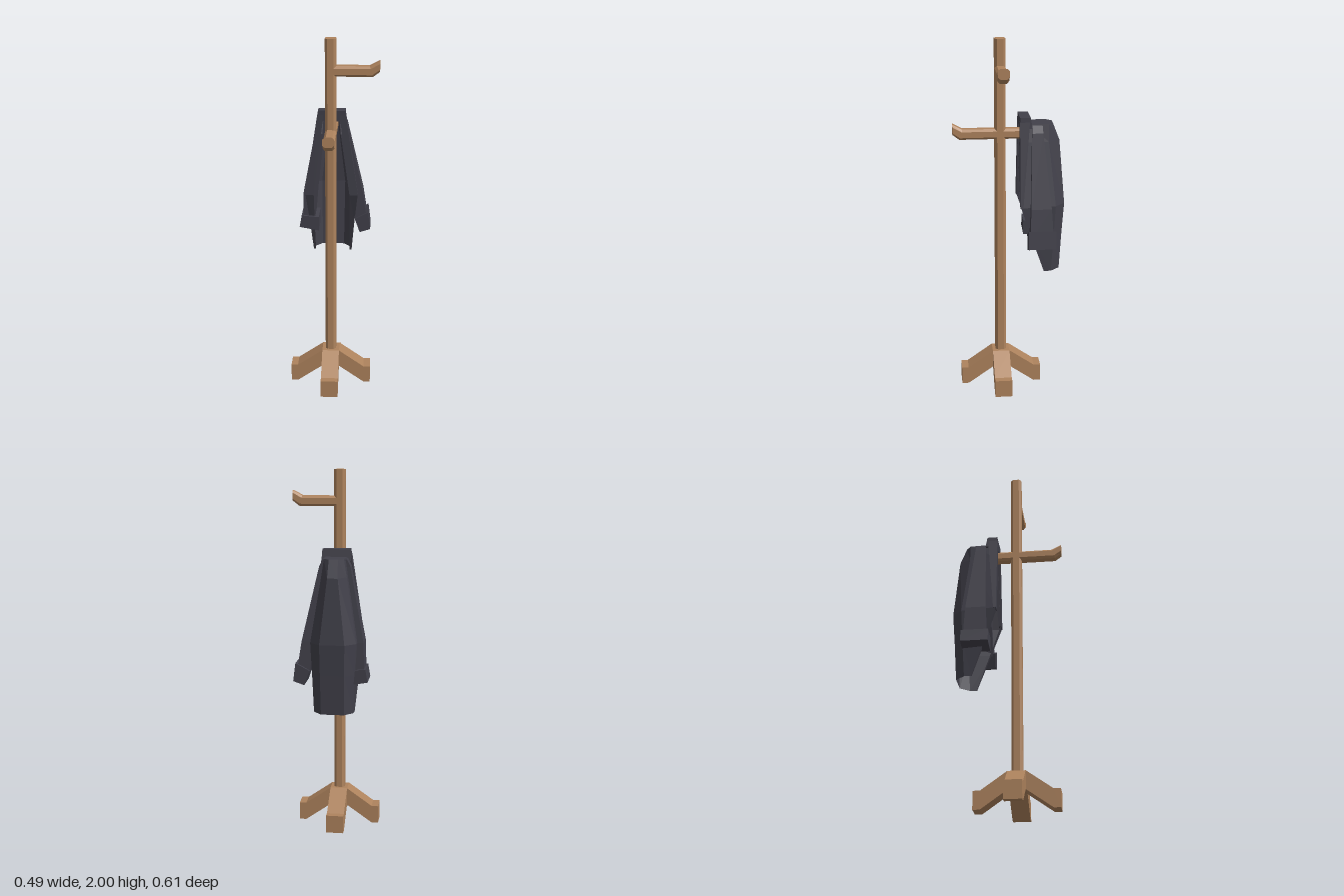
import * as THREE from 'three';

const wood = new THREE.MeshStandardMaterial({ color: 0xae835d, flatShading: true });
wood.name = 'wood';
const cloth = new THREE.MeshStandardMaterial({ color: 0x41404a, flatShading: true, side: THREE.DoubleSide });
cloth.name = 'dark cloth';

const PX = -0.016, PZ = 0.045; // pole axis
const CX = -0.018;             // coat centre line

// Skin a list of cross-sections with flat faces; open sections give a shell
function loft(rings, { closed = true, capStart = true, capEnd = true } = {}) {
  const pos = [], n = rings[0].length;
  const tri = (a, b, c) => pos.push(...a, ...b, ...c);
  for (let i = 0; i < rings.length - 1; i++) {
    for (let j = 0; j < (closed ? n : n - 1); j++) {
      const k = (j + 1) % n, r = rings[i], s = rings[i + 1];
      tri(r[j], r[k], s[k]);
      tri(r[j], s[k], s[j]);
    }
  }
  const first = rings[0], last = rings[rings.length - 1];
  for (let j = 1; j < n - 1; j++) {
    if (capStart) tri(first[0], first[j + 1], first[j]);
    if (capEnd) tri(last[0], last[j], last[j + 1]);
  }
  const g = new THREE.BufferGeometry();
  g.setAttribute('position', new THREE.Float32BufferAttribute(pos, 3));
  g.computeVertexNormals();
  return g;
}

// Chamfered square bar running along +x through [x, y] stations
function bar(stations, h, w, c) {
  const outline = [[h, -w + c], [h, w - c], [h - c, w], [-h + c, w], [-h, w - c], [-h, -w + c], [-h + c, -w], [h - c, -w]];
  return loft(stations.map(([x, y, lean = 0]) => outline.map(([u, v]) => [x - u * lean, y + u, v])));
}

function add(parent, name, geometry, material) {
  const m = new THREE.Mesh(geometry, material);
  m.name = name;
  parent.add(m);
  return m;
}

// Extrude a side outline, centred on z
function slab(points, depth) {
  const shape = new THREE.Shape(points.map(p => new THREE.Vector2(...p)));
  return new THREE.ExtrudeGeometry(shape, { depth, bevelEnabled: false }).translate(0, 0, -depth / 2);
}

function buildStand() {
  const stand = new THREE.Group();
  stand.name = 'stand';
  stand.position.set(PX, 0, PZ);

  const pole = add(stand, 'pole', bar([[0.15, 0], [2, 0]], 0.03, 0.03, 0.013), wood);
  pole.rotation.z = Math.PI / 2;

  // Hub and four splayed feet
  add(stand, 'hub', new THREE.BoxGeometry(0.096, 0.1, 0.096).translate(0, 0.15, 0), wood);
  const footGeo = slab([[0.048, 0.1], [0.19, 0], [0.228, 0], [0.228, 0.1], [0.19, 0.1], [0.048, 0.2]], 0.096);
  for (let i = 0; i < 4; i++) {
    add(stand, 'foot', footGeo, wood).rotation.y = i * Math.PI / 2;
  }

  // Pegs with upturned ends: one high to the side, two lower front and back
  const pegGeo = bar([[0.01, 0], [0.213, 0, 0.3], [0.258, 0.028]], 0.028, 0.03, 0.012);
  for (const [y, turn] of [[1.83, 0], [1.487, -Math.PI / 2], [1.487, Math.PI / 2]]) {
    const peg = add(stand, 'peg', pegGeo, wood);
    peg.position.y = y;
    peg.rotation.y = turn;
  }
  return stand;
}

// Rectangular horizontal section
const rect = (x0, x1, y, zBack, zFront) =>
  [[x0, y, zBack], [x0, y, zFront], [x1, y, zFront], [x1, y, zBack]];

function buildCoat() {
  const coat = new THREE.Group();
  coat.name = 'coat';

  // Body shell, open down the front: y, then half width and z of lapel edge, front, side, back
  const body = [
    [0.715, 0.098, -0.19, 0.11, -0.19, 0.107, -0.23, 0.062, -0.28],
    [0.93, 0.1, -0.115, 0.128, -0.115, 0.115, -0.242, 0.065, -0.292],
    [1.1, 0.1, -0.06, 0.146, -0.058, 0.123, -0.25, 0.067, -0.304],
    [1.45, 0.05, -0.068, 0.083, -0.068, 0.068, -0.215, 0.028, -0.277],
    [1.545, 0.045, -0.1, 0.06, -0.1, 0.053, -0.215, 0.024, -0.24],
  ].map(([y, ...p]) => {
    const half = [0, 2, 4, 6].map(i => [p[i], p[i + 1]]);
    return [
      ...half.map(([w, z]) => [CX - w, y, z]),
      ...half.slice().reverse().map(([w, z]) => [CX + w, y, z]),
    ];
  });
  add(coat, 'coatBody', loft(body, { closed: false, capStart: false }), cloth);

  // Collar standing at the neck
  add(coat, 'collar', loft([
    rect(CX - 0.078, CX + 0.08, 1.525, -0.125, -0.06),
    rect(CX - 0.074, CX + 0.076, 1.585, -0.115, -0.058),
  ]), cloth);

  for (const s of [-1, 1]) {
    // Lapel strip
    add(coat, 'lapel', loft([
      rect(CX + s * 0.1, CX + s * 0.148, 1.1, -0.07, -0.055),
      rect(CX + s * 0.045, CX + s * 0.078, 1.56, -0.11, -0.057),
    ]), cloth);

    // Hanging sleeve
    add(coat, 'sleeve', loft([
      rect(s * 0.115, s * 0.182, 0.93, -0.232, -0.105),
      rect(CX * 0.6 + s * 0.09, CX * 0.6 + s * 0.167, 1.1, -0.222, -0.11),
      rect(CX + s * 0.04, CX + s * 0.084, 1.5, -0.182, -0.122),
      rect(CX + s * 0.04, CX + s * 0.065, 1.54, -0.18, -0.125),
    ]), cloth);
  }

  // Turned-back cuffs
  const cuffs = [
    [[0.112, 0.945], [0.14, 0.865], [0.2, 0.885], [0.187, 0.985]],
    [[-0.19, 0.96], [-0.202, 0.89], [-0.092, 0.87], [-0.092, 0.952]],
  ];
  for (const outline of cuffs) {
    add(coat, 'cuff', slab(outline, 0.15), cloth).position.z = -0.168;
  }
  return coat;
}

export function createModel() {
  const model = new THREE.Group();
  model.name = 'coatStand';
  model.add(buildStand(), buildCoat());
  return model;
}
